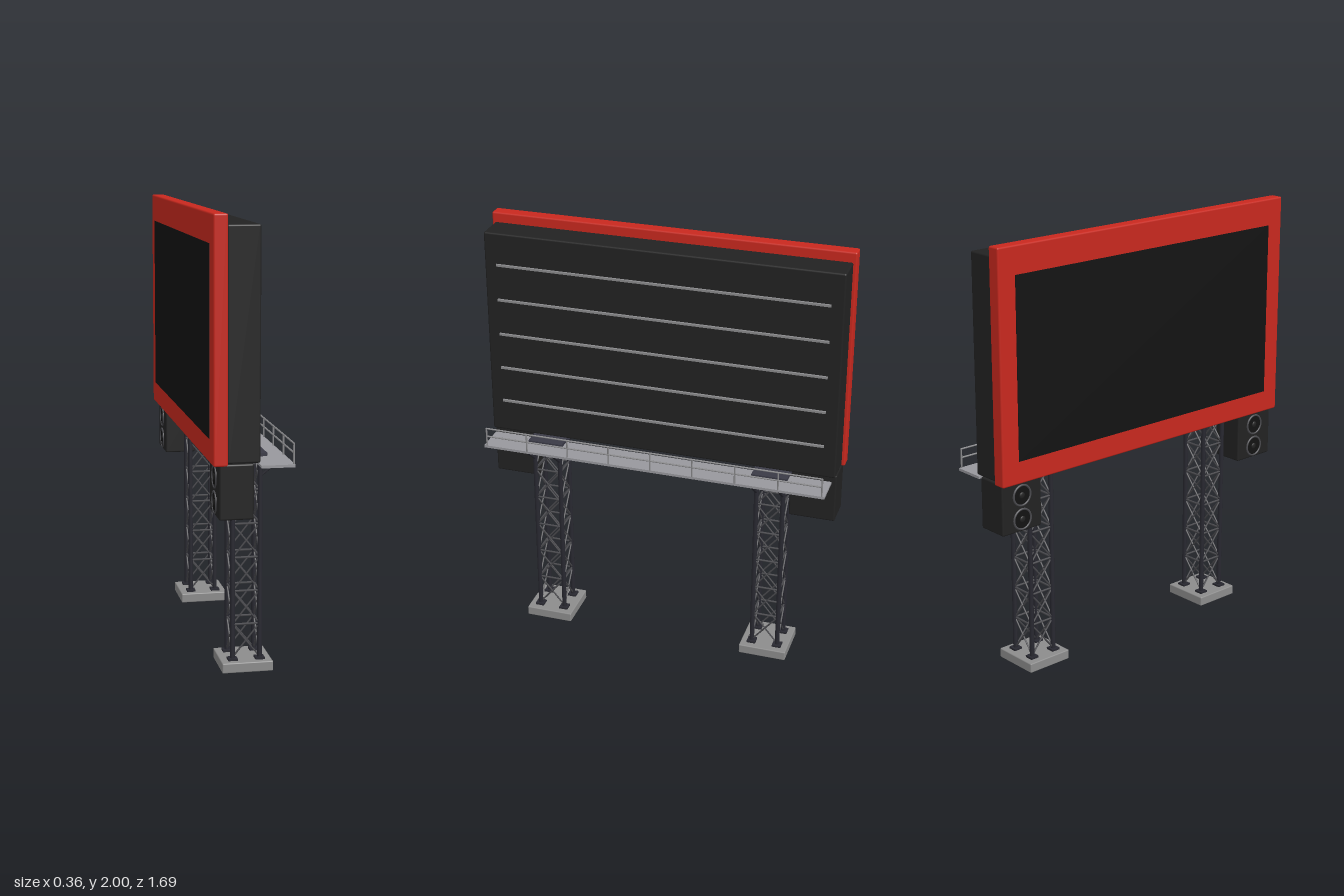
import * as THREE from 'three';
import { RoundedBoxGeometry } from 'three/addons/geometries/RoundedBoxGeometry.js';

const mat = (name, color) => Object.assign(new THREE.MeshStandardMaterial({ color }), { name });

export function createModel() {
  const red = mat('red frame', 0xc8281e);
  const black = mat('black casing', 0x222222);
  const screenBlack = mat('screen black', 0x131313);
  const steel = mat('dark steel', 0x282830);
  const plateSteel = mat('plate steel', 0x3a3a46);
  const brace = mat('brace steel', 0x4a4a4e);
  const concrete = mat('concrete', 0x8c8c8c);
  const deckGrey = mat('deck grey', 0x98989d);
  const railGrey = mat('rail grey', 0x8a8a8c);

  const root = new THREE.Group();
  root.name = 'billboard';
  const group = (name, parent = root) => {
    const g = new THREE.Group();
    g.name = name;
    parent.add(g);
    return g;
  };
  const add = (parent, name, geo, material) => {
    const m = new THREE.Mesh(geo, material);
    m.name = name;
    parent.add(m);
    return m;
  };
  // Box given by its lower and upper corners, optionally rounded
  const box = (parent, name, a, b, material, radius = 0) => {
    const s = a.map((v, i) => b[i] - v);
    const geo = radius ? new RoundedBoxGeometry(...s, 2, radius) : new THREE.BoxGeometry(...s);
    const m = add(parent, name, geo, material);
    m.position.set(...a.map((v, i) => (v + b[i]) / 2));
    return m;
  };
  // Round bar between two points
  const up = new THREE.Vector3(0, 1, 0);
  const bar = (parent, name, a, b, r, material, sides = 8) => {
    const p = new THREE.Vector3(...a), q = new THREE.Vector3(...b);
    const d = q.clone().sub(p);
    const m = add(parent, name, new THREE.CylinderGeometry(r, r, d.length(), sides), material);
    m.position.copy(p).add(q).multiplyScalar(0.5);
    m.quaternion.setFromUnitVectors(up, d.normalize());
    return m;
  };

  // Display: frame, screen and rear cabinet with ribs
  const display = group('display');
  box(display, 'frame', [-0.18, 0.96, -0.843], [-0.118, 2, 0.843], red, 0.008);
  box(display, 'screen', [-0.182, 1.063, -0.755], [-0.174, 1.875, 0.755], screenBlack);
  box(display, 'cabinet', [-0.12, 0.968, -0.828], [0.023, 1.955, 0.828], black, 0.008);
  for (let i = 0; i < 5; i++) {
    const y = 1.125 + i * 0.17;
    box(display, 'rearRib', [0.02, y - 0.005, -0.77], [0.033, y + 0.005, 0.77], railGrey);
  }

  // Lattice towers
  const chordX = [-0.052, 0.069];
  const levels = [0.055, 0.205, 0.355, 0.505, 0.655, 0.805, 0.95];
  for (const side of [-1, 1]) {
    const tower = group(side > 0 ? 'leftTower' : 'rightTower');
    const c = side * 0.54;
    const chordZ = [c - 0.062, c + 0.062];
    box(tower, 'footing', [-0.105, 0, c - 0.113], [0.121, 0.045, c + 0.113], concrete, 0.005);
    box(tower, 'topPlate', [-0.078, 0.95, c - 0.083], [0.095, 0.968, c + 0.083], plateSteel);
    for (const x of chordX) for (const z of chordZ) {
      box(tower, 'footPlate', [x - 0.021, 0.044, z - 0.021], [x + 0.021, 0.054, z + 0.021], steel);
      bar(tower, 'chord', [x, 0.045, z], [x, 0.952, z], 0.011, steel, 10);
    }
    // Corners in order round the tower, so each pair bounds one face
    const ring = [[0, 0], [1, 0], [1, 1], [0, 1]].map(([i, j]) => [chordX[i], chordZ[j]]);
    ring.forEach(([x0, z0], k) => {
      const [x1, z1] = ring[(k + 1) % 4];
      levels.forEach((y, i) => {
        if (i === 0) return;
        const low = levels[i - 1];
        bar(tower, 'crossbar', [x0, y, z0], [x1, y, z1], 0.005, brace, 6);
        bar(tower, 'diagonal', [x0, low, z0], [x1, y, z1], 0.004, brace, 6);
        bar(tower, 'diagonal', [x1, low, z1], [x0, y, z0], 0.004, brace, 6);
      });
    });
    // Struts holding the walkway
    for (const z of chordZ) bar(tower, 'walkwayStrut', [0.072, 0.865, z], [0.165, 0.942, z], 0.006, steel, 6);
  }

  // Walkway with guard rail
  const walkway = group('walkway');
  box(walkway, 'deck', [0.03, 0.941, -0.813], [0.175, 0.953, 0.813], deckGrey);
  for (let i = 0; i <= 8; i++) {
    const z = -0.8 + i * 0.2;
    bar(walkway, 'railPost', [0.171, 0.95, z], [0.171, 1.04, z], 0.004, railGrey);
  }
  for (const y of [1, 1.04])
    bar(walkway, 'guardRail', [0.171, y, -0.802], [0.171, y, 0.802], 0.004, railGrey);

  // Loudspeakers with two drivers each, facing the screen side
  for (const side of [-1, 1]) {
    const speaker = group(side > 0 ? 'leftSpeaker' : 'rightSpeaker');
    const c = side * 0.722;
    box(speaker, 'speakerBox', [-0.153, 0.728, c - 0.108], [-0.005, 0.966, c + 0.108], black, 0.008);
    for (const y of [0.785, 0.895]) {
      const rim = add(speaker, 'driverRim', new THREE.TorusGeometry(0.046, 0.005, 8, 28), brace);
      rim.position.set(-0.154, y, c);
      rim.rotation.y = Math.PI / 2;
      bar(speaker, 'driverCone', [-0.155, y, c], [-0.15, y, c], 0.044, screenBlack, 28);
      const dome = add(speaker, 'driverDome', new THREE.SphereGeometry(0.015, 14, 8), black);
      dome.position.set(-0.154, y, c);
      dome.scale.x = 0.4;
    }
  }
  return root;
}
